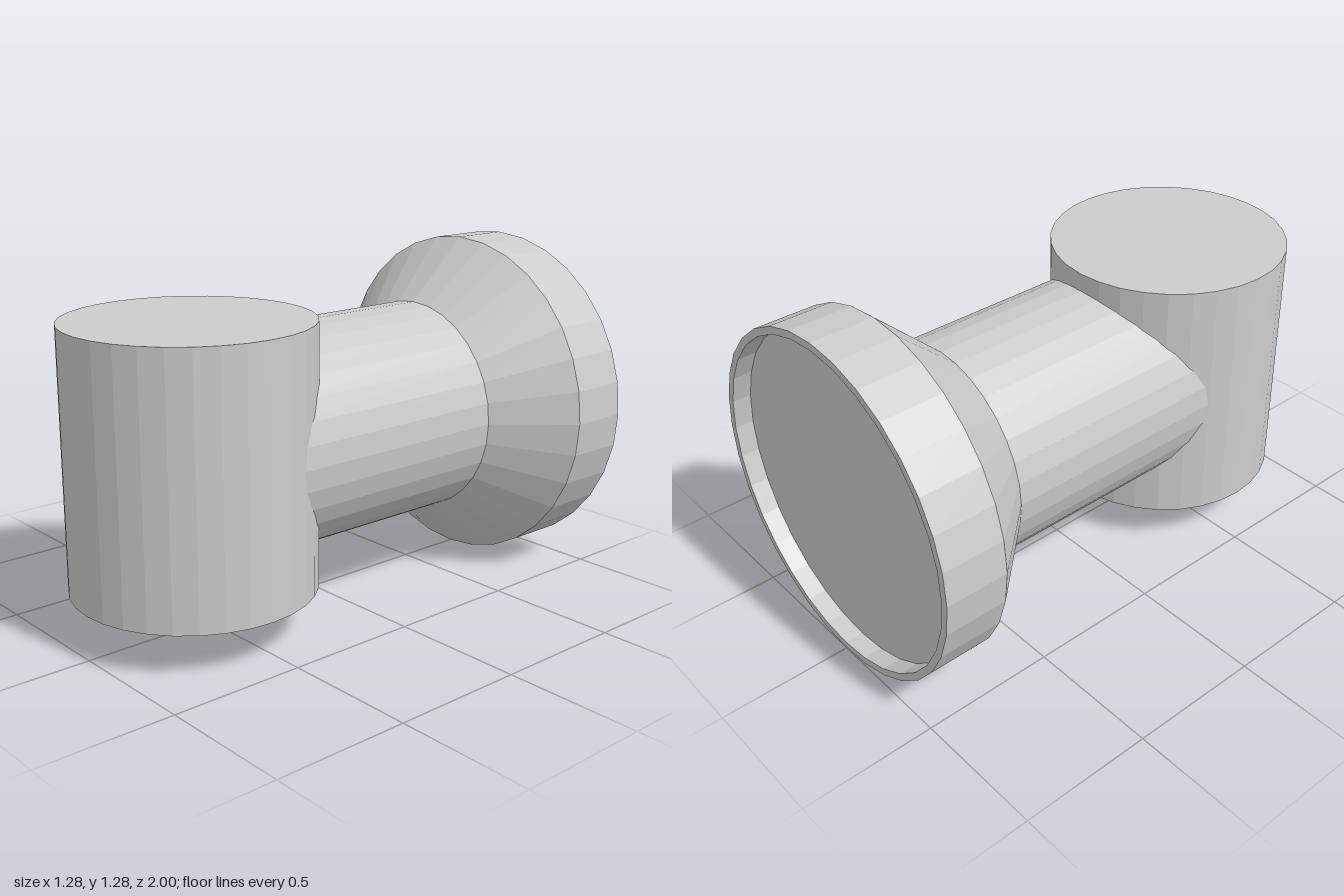
import * as THREE from 'three';

const SIDES = 32;
const AXIS_Y = 0.641;

export function createModel() {
  const model = new THREE.Group();
  const material = new THREE.MeshStandardMaterial({ color: 0xcccccc, flatShading: true });

  // Upright drum at the front
  const drum = new THREE.Mesh(new THREE.CylinderGeometry(0.443, 0.443, 0.955, SIDES), material);
  drum.name = 'uprightDrum';
  drum.position.set(0, AXIS_Y, 0.557);
  model.add(drum);

  // Flared neck: recessed back face, rim, cone, then the tube running into the drum
  const profile = [
    [0, -0.93], [0.61, -0.93], [0.61, -1], [0.638, -1],
    [0.638, -0.765], [0.408, -0.515], [0.408, 0.55], [0, 0.55],
  ].map(([r, z]) => new THREE.Vector2(r, z));
  const neck = new THREE.Mesh(new THREE.LatheGeometry(profile, SIDES).rotateX(Math.PI / 2), material);
  neck.name = 'flaredNeck';
  neck.position.y = AXIS_Y;
  model.add(neck);

  return model;
}
